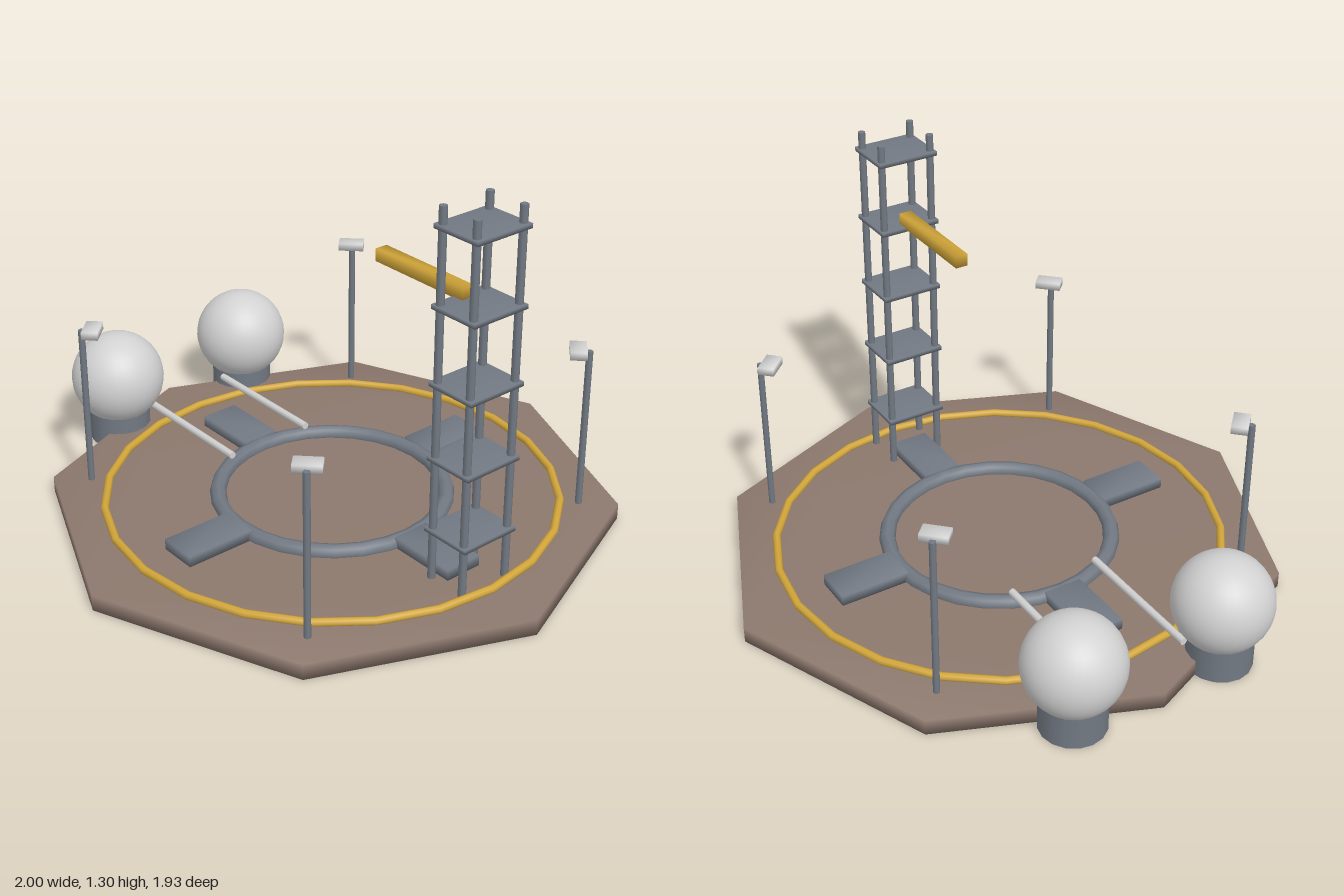
import * as THREE from 'three';
import { mergeVertices } from 'three/addons/utils/BufferGeometryUtils.js';

const CX = 0.037;        // centre of the pad along x
const DECK = 0.055;      // height of the deck surface

const mat = (name, color) => {
  const m = new THREE.MeshStandardMaterial({ color });
  m.name = name;
  return m;
};

// Weld corners so shading runs softly across edges
function soften(geo) {
  geo.deleteAttribute('uv');
  geo.deleteAttribute('normal');
  const g = mergeVertices(geo, 1e-4);
  g.computeVertexNormals();
  return g;
}

const softBox = (w, h, d) => soften(new THREE.BoxGeometry(w, h, d));

export function createModel() {
  const root = new THREE.Group();
  root.name = 'launchPad';
  const earth = mat('brown', 0x8c786d);
  const steel = mat('steel grey', 0x727983);
  const yellow = mat('yellow', 0xd2a63a);
  const white = mat('pale grey', 0xd2d2d2);

  function add(parent, name, geo, material, x, y, z) {
    const m = new THREE.Mesh(geo, material);
    m.name = name;
    m.position.set(x, y, z);
    parent.add(m);
    return m;
  }
  function group(name, x = 0, z = 0) {
    const g = new THREE.Group();
    g.name = name;
    g.position.set(x, 0, z);
    root.add(g);
    return g;
  }

  // Octagonal deck
  const outline = new THREE.Shape();
  for (let i = 0; i < 8; i++) {
    const a = (i * Math.PI) / 4;
    const p = [0.963 * Math.cos(a), 0.963 * Math.sin(a)];
    if (i) outline.lineTo(...p); else outline.moveTo(...p);
  }
  const deck = new THREE.ExtrudeGeometry(outline, { depth: DECK, bevelEnabled: false });
  deck.rotateX(-Math.PI / 2);
  add(root, 'deck', soften(deck), earth, CX, 0, 0);

  // Painted boundary ring and central blast ring
  const ring = (r, tube, seg) => new THREE.TorusGeometry(r, tube, 8, seg).rotateX(Math.PI / 2);
  add(root, 'boundaryRing', ring(0.768, 0.014, 24), yellow, CX, 0.063, 0);
  add(root, 'blastRing', ring(0.387, 0.028, 28), steel, CX, 0.062, 0);

  // Four hold-down plates around the ring
  for (let i = 0; i < 4; i++) {
    const a = (i * Math.PI) / 2;
    const plate = add(root, 'holdDownPlate', softBox(0.246, 0.038, 0.135), steel,
      CX + 0.518 * Math.cos(a), DECK + 0.019, 0.518 * Math.sin(a));
    plate.rotation.y = -a;
  }

  // Service tower: four legs and five platforms
  const tower = group('serviceTower', 0.698);
  for (const sx of [-1, 1]) for (const sz of [-1, 1]) {
    add(tower, 'towerLeg', new THREE.CylinderGeometry(0.013, 0.013, 1.25, 8), steel,
      sx * 0.0685, DECK + 0.625, sz * 0.092);
  }
  for (let i = 0; i < 5; i++) {
    add(tower, 'towerPlatform', softBox(0.18, 0.015, 0.216), steel, 0, 0.23 + i * 0.2525, 0);
  }
  add(tower, 'serviceArm', softBox(0.382, 0.042, 0.044), yellow, -0.24, 1.012, 0);

  // Storage tanks with feed pipes
  for (const s of [-1, 1]) {
    const tank = group('storageTank', -0.837, s * 0.278);
    add(tank, 'tankBase', new THREE.CylinderGeometry(0.11, 0.11, 0.113, 16), steel, 0, 0.0565, 0);
    add(tank, 'tankSphere', new THREE.SphereGeometry(0.165, 32, 20), white, 0, 0.237, 0);
    const pipe = new THREE.CylinderGeometry(0.013, 0.013, 0.495, 8).rotateZ(Math.PI / 2);
    add(root, 'feedPipe', pipe, white, -0.553, 0.099, s * 0.163);
  }

  // Floodlights, each turned to face the centre
  for (let i = 0; i < 4; i++) {
    const a = Math.PI / 4 + (i * Math.PI) / 2;
    const lamp = group('floodlight', CX + 0.83 * Math.cos(a), 0.83 * Math.sin(a));
    lamp.rotation.y = -a;
    add(lamp, 'lampPole', new THREE.CylinderGeometry(0.0115, 0.0115, 0.57, 8), steel, 0, DECK + 0.285, 0);
    add(lamp, 'lampHead', softBox(0.055, 0.027, 0.09), white, -0.036, 0.624, 0);
  }

  return root;
}
